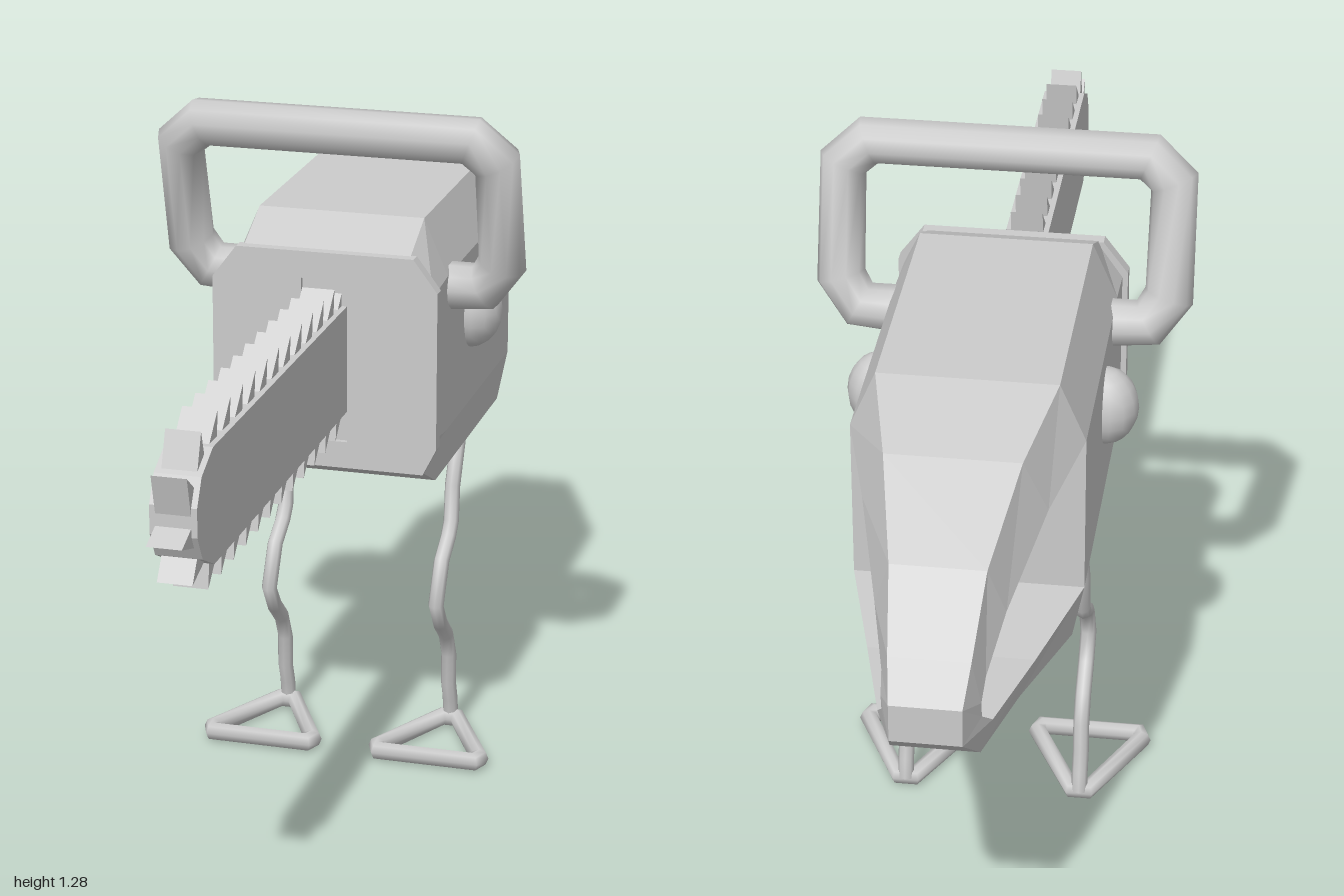
import * as THREE from 'three';

const grey = (opts = {}) => new THREE.MeshStandardMaterial({ color: 0xcccccc, ...opts });
const flat = grey({ flatShading: true, side: THREE.DoubleSide });
const smooth = grey();

function add(parent, name, geometry, material) {
  const mesh = new THREE.Mesh(geometry, material);
  mesh.name = name;
  parent.add(mesh);
  return mesh;
}

// Skin a list of equal-length cross-sections, optionally closing both ends
function loft(rings, capped) {
  const pos = [];
  const tri = (...pts) => pts.forEach((p) => pos.push(...p));
  const n = rings[0].length;
  for (let i = 0; i < rings.length - 1; i++) {
    for (let j = 0; j < n; j++) {
      const k = (j + 1) % n;
      const a = rings[i][j], b = rings[i][k], c = rings[i + 1][k], d = rings[i + 1][j];
      tri(a, d, c);
      tri(a, c, b);
    }
  }
  if (capped) {
    const first = rings[0], last = rings[rings.length - 1];
    for (let j = 1; j < n - 1; j++) {
      tri(first[0], first[j], first[j + 1]);
      tri(last[0], last[j + 1], last[j]);
    }
  }
  const g = new THREE.BufferGeometry();
  g.setAttribute('position', new THREE.Float32BufferAttribute(pos, 3));
  g.computeVertexNormals();
  return g;
}

// Straight-segment path whose tangents bisect each corner
class Polyline extends THREE.Curve {
  constructor(points, closed = false) {
    super();
    this.pts = points.map((p) => new THREE.Vector3(...p));
    if (closed) this.pts.push(this.pts[0].clone());
    this.closed = closed;
  }
  getPointAt(u, target = new THREE.Vector3()) {
    return target.copy(this.pts[Math.round(u * (this.pts.length - 1))]);
  }
  getPoint(t, target) { return this.getPointAt(t, target); }
  getTangentAt(u, target = new THREE.Vector3()) {
    const p = this.pts, m = p.length - 1, i = Math.round(u * m);
    const step = (a, b) => p[b].clone().sub(p[a]).normalize();
    target.set(0, 0, 0);
    if (i > 0) target.add(step(i - 1, i));
    if (i < m) target.add(step(i, i + 1));
    if (this.closed && i === 0) target.add(step(m - 1, m));
    if (this.closed && i === m) target.add(step(0, 1));
    return target.normalize();
  }
}

function pipe(points, radius, sides, closed = false) {
  const path = new Polyline(points, closed);
  return new THREE.TubeGeometry(path, path.pts.length - 1, radius, sides, closed);
}

// Symmetric outline from its right-hand half, listed bottom to top
const mirrorHalf = (half) => [...half, ...half.map(([x, y]) => [-x, y]).reverse()];

// Extrude a (z, y) shape sideways, centred on x = 0
function extrudeAcross(shape, width) {
  return new THREE.ExtrudeGeometry(shape, { depth: width, bevelEnabled: false })
    .translate(0, 0, -width / 2).rotateY(-Math.PI / 2);
}

export function createModel() {
  const model = new THREE.Group();
  model.name = 'walkingChainsaw';

  // Motor housing, tapering towards the front
  const full = mirrorHalf([[0.18, 0.58], [0.2, 0.68], [0.2, 0.975], [0.155, 1.08]]);
  const nose = mirrorHalf([[0.175, 0.635], [0.2, 0.69], [0.2, 0.965], [0.155, 1.03]]);
  const at = (ring, z) => ring.map(([x, y]) => [x, y, z]);
  add(model, 'housing', loft([at(nose, 0.085), at(full, -0.02), at(full, -0.51)], true), flat);

  // Front plate with the slot for the bar
  const plate = new THREE.Shape(
    mirrorHalf([[0.185, 0.63], [0.21, 0.68], [0.21, 0.975], [0.165, 1.035]]).map((p) => new THREE.Vector2(...p)));
  plate.holes.push(new THREE.Path(
    [[-0.043, 0.68], [-0.043, 0.985], [0.043, 0.985], [0.043, 0.68]].map((p) => new THREE.Vector2(...p))));
  add(model, 'frontPlate',
    new THREE.ExtrudeGeometry(plate, { depth: 0.025, bevelEnabled: false }).translate(0, 0, 0.07), flat);

  // Rear grip: [outer z, y, half width, inner z, y, half width] from top round to bottom
  const grip = [
    [-0.51, 1.08, 0.155, -0.51, 0.975, 0.2],
    [-0.68, 1.03, 0.115, -0.66, 0.93, 0.155],
    [-0.85, 0.93, 0.08, -0.83, 0.84, 0.108],
    [-0.95, 0.82, 0.068, -0.91, 0.765, 0.085],
    [-1.0, 0.76, 0.06, -0.94, 0.735, 0.082],
    [-1.0, 0.69, 0.06, -0.935, 0.705, 0.082],
    [-0.905, 0.61, 0.075, -0.9, 0.675, 0.095],
    [-0.72, 0.592, 0.115, -0.72, 0.67, 0.142],
    [-0.51, 0.58, 0.18, -0.51, 0.68, 0.2],
  ];
  add(model, 'rearGrip', loft(grip.map(([oz, oy, ow, iz, iy, iw]) =>
    [[ow, oy, oz], [-ow, oy, oz], [-iw, iy, iz], [iw, iy, iz]]), true), flat);

  // Guide bar
  const outline = [[0.06, 0.735], [0.87, 0.735], [0.93, 0.765], [0.955, 0.81],
    [0.955, 0.86], [0.93, 0.905], [0.87, 0.935], [0.06, 0.935]].map((p) => new THREE.Vector2(...p));
  add(model, 'guideBar', extrudeAcross(new THREE.Shape(outline), 0.08), flat);

  // Chain teeth, leaning along the direction of travel
  const chain = new THREE.Group();
  chain.name = 'chainTeeth';
  model.add(chain);
  const track = new THREE.Path(outline);
  const count = 28;
  for (let i = 0; i < count; i++) {
    const u = (i + 0.55) / count;
    const p = track.getPointAt(u), t = track.getTangentAt(u);
    const corner = (along, out) => new THREE.Vector2(
      p.x + t.x * along + t.y * out, p.y + t.y * along - t.x * out);
    const tooth = new THREE.Shape([corner(-0.025, -0.006), corner(0.02, -0.006), corner(0.027, 0.044)].reverse());
    add(chain, 'tooth', extrudeAcross(tooth, 0.06), flat);
  }

  // Tilted carrying handle
  const side = [[0.16, 0.945, -0.06], [0.26, 0.95, -0.058], [0.295, 1.0, -0.045],
    [0.295, 1.2, 0.008], [0.25, 1.24, 0.018]];
  const handlePath = [...side, ...side.map(([x, y, z]) => [-x, y, z]).reverse()];
  add(model, 'carryHandle', pipe(handlePath, 0.045, 10), smooth);

  for (const s of [1, -1]) {
    const prefix = s > 0 ? 'left' : 'right';

    // Rounded side cap
    const cap = add(model, prefix + 'SideCap', new THREE.SphereGeometry(1, 14, 10), smooth);
    cap.scale.set(0.06, 0.073, 0.057);
    cap.position.set(s * 0.2, 0.86, -0.202);

    // Crooked wire leg and triangular wire foot
    const leg = [[0.62, -0.275], [0.57, -0.25], [0.5, -0.215], [0.43, -0.207], [0.405, -0.185],
      [0.375, -0.135], [0.3, -0.095], [0.25, -0.13], [0.21, -0.175], [0.16, -0.2],
      [0.1, -0.2], [0.06, -0.215], [0.02, -0.22]];
    add(model, prefix + 'Leg', pipe(leg.map(([y, z]) => [s * 0.165, y, z]), 0.015, 8), smooth);
    const foot = [[0.18, -0.215], [0.265, -0.045], [0.258, -0.025], [0.072, -0.025],
      [0.065, -0.045], [0.15, -0.215]];
    add(model, prefix + 'Foot', pipe(foot.map(([x, z]) => [s * x, 0.018, z]), 0.018, 8, true), smooth);
  }

  return model;
}
